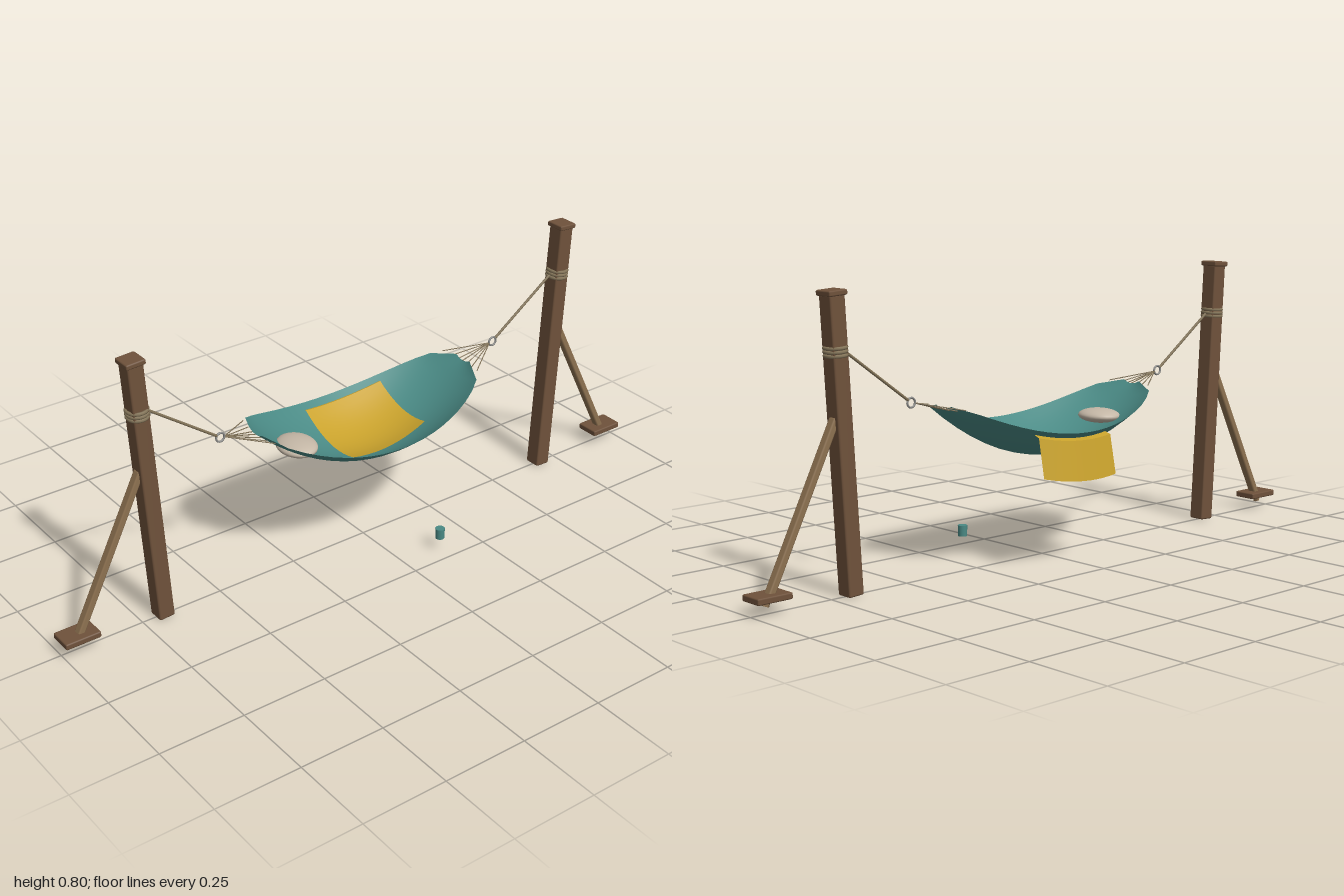
import * as THREE from 'three';
import { RoundedBoxGeometry } from 'three/addons/geometries/RoundedBoxGeometry.js';

const V = (x, y, z = 0) => new THREE.Vector3(x, y, z);
const mat = (name, color, side = THREE.FrontSide) => {
  const m = new THREE.MeshStandardMaterial({ color, side });
  m.name = name;
  return m;
};

// Hammock cloth: half width, rim height and belly height along x
const HALF = 0.365;
const halfWidth = x => 0.03 + 0.16 * Math.pow(Math.max(0, Math.cos((x / HALF) * Math.PI / 2)), 0.4);
const rimY = x => 0.378 + 0.091 * (x / HALF) ** 2;
const bellyY = x => 0.295 + 0.165 * (x / HALF) ** 2;
const clothY = (x, v) => bellyY(x) + (rimY(x) - bellyY(x)) * v * v;

// Surface from a rule f(i, j) on a grid of i along x and j along z
function surface(ni, nj, f) {
  const pos = [], index = [];
  for (let i = 0; i <= ni; i++) for (let j = 0; j <= nj; j++) pos.push(...f(i, j));
  for (let i = 0; i < ni; i++) for (let j = 0; j < nj; j++) {
    const a = i * (nj + 1) + j, b = a + nj + 1;
    index.push(a, a + 1, b, b, a + 1, b + 1);
  }
  const g = new THREE.BufferGeometry();
  g.setAttribute('position', new THREE.Float32BufferAttribute(pos, 3));
  g.setIndex(index);
  g.computeVertexNormals();
  return g;
}

export function createModel() {
  const root = new THREE.Group();
  const post = mat('dark wood', 0x6f523b);
  const pale = mat('light wood', 0x8d7150);
  const rope = mat('rope', 0x85765a);
  const metal = mat('metal', 0x8c8c8a);
  const teal = mat('teal cloth', 0x4a8a85, THREE.DoubleSide);
  const yellow = mat('yellow blanket', 0xc9a22c, THREE.DoubleSide);
  const cream = mat('pillow cream', 0xc4b7a6);

  const add = (name, geo, m, p = V(0, 0), parent = root) => {
    const mesh = new THREE.Mesh(geo, m);
    mesh.name = name;
    mesh.position.copy(p);
    parent.add(mesh);
    return mesh;
  };
  // Stretch a part of known length between two points
  const between = (name, make, m, a, b) => {
    const d = b.clone().sub(a), len = d.length();
    const mesh = add(name, make(len), m, a.clone().add(b).multiplyScalar(0.5));
    mesh.quaternion.setFromUnitVectors(V(0, 1), d.normalize());
    return mesh;
  };
  const beam = (w, d) => len => new RoundedBoxGeometry(w, len, d, 1, 0.005);
  const cord = r => len => new THREE.CylinderGeometry(r, r, len, 6);

  for (const s of [1, -1]) {
    const side = s > 0 ? 'left' : 'right';

    // Leaning post with cap
    const foot = V(s * 0.685, 0.003), top = V(s * 0.731, 0.793);
    const p = between(side + 'Post', beam(0.048, 0.05), post, foot, top);
    const half = foot.distanceTo(top) / 2;
    add(side + 'PostCap', new RoundedBoxGeometry(0.058, 0.015, 0.06, 1, 0.004), post, V(0, half + 0.004), p);

    // Rope coils around the post
    for (let k = -1; k <= 1; k++) {
      const coil = add(side + 'RopeCoil', new THREE.TorusGeometry(0.028, 0.005, 6, 20), rope, V(0, 0.249 + k * 0.01), p);
      coil.rotation.x = Math.PI / 2;
      coil.scale.y = 1.07;
    }

    // Diagonal brace, ground pad and peg
    between(side + 'Brace', beam(0.02, 0.026), pale, V(s * 0.728, 0.475), V(s * 0.945, 0.042));
    add(side + 'GroundPad', new RoundedBoxGeometry(0.106, 0.018, 0.072, 1, 0.004), post, V(s * 0.947, 0.046));
    between(side + 'Peg', cord(0.01), pale, V(s * 0.947, 0.045), V(s * 0.955, 0.022));

    // Hanging rope and ring
    const ring = V(s * 0.477, 0.489);
    between(side + 'Rope', cord(0.004), rope, V(s * 0.697, 0.647), V(s * 0.488, 0.497));
    add(side + 'Ring', new THREE.TorusGeometry(0.013, 0.003, 8, 20), metal, ring);

    // Fan of thin strands to the cloth end
    for (let k = 0; k < 7; k++) {
      const v = k / 3 - 1, x = HALF - 0.012 * Math.abs(v);
      between(side + 'Strand', cord(0.0015), rope, V(s * 0.466, 0.487), V(s * x, clothY(x, v), v * halfWidth(x)));
    }
  }

  // Cloth bed
  add('hammockCloth', surface(20, 16, (i, j) => {
    const x = HALF * (i / 10 - 1), v = j / 8 - 1;
    return [x, clothY(x, v), v * halfWidth(x)];
  }), teal);

  // Blanket lying in the bed, then dropping outside the back rim
  const INNER = 10;
  const blanketPoint = (i, j) => {
    const x = -0.085 + 0.26 * i / 10;
    if (j >= 2) {
      const v = -0.87 + 1.24 * (j - 2) / INNER;
      return [x, clothY(x, v) + 0.006, v * halfWidth(x)];
    }
    const [v, drop] = [[-1.13, 0.13], [-1.01, 0.02]][j];
    return [x, rimY(x) - drop, v * halfWidth(x)];
  };
  add('blanketInside', surface(10, INNER, (i, j) => blanketPoint(i, j + 2)), yellow);
  add('blanketFold', surface(10, 1, (i, j) => blanketPoint(i, j + 1)), yellow);
  add('blanketFlap', surface(10, 1, blanketPoint), yellow);

  // Pillow
  add('pillow', new THREE.SphereGeometry(1, 24, 16), cream, V(-0.23, 0.379)).scale.set(0.055, 0.021, 0.068);

  // Cup beside the hammock
  add('cup', new THREE.CylinderGeometry(0.014, 0.013, 0.032, 16), teal, V(0.127, 0.056, 0.201));

  return root;
}
